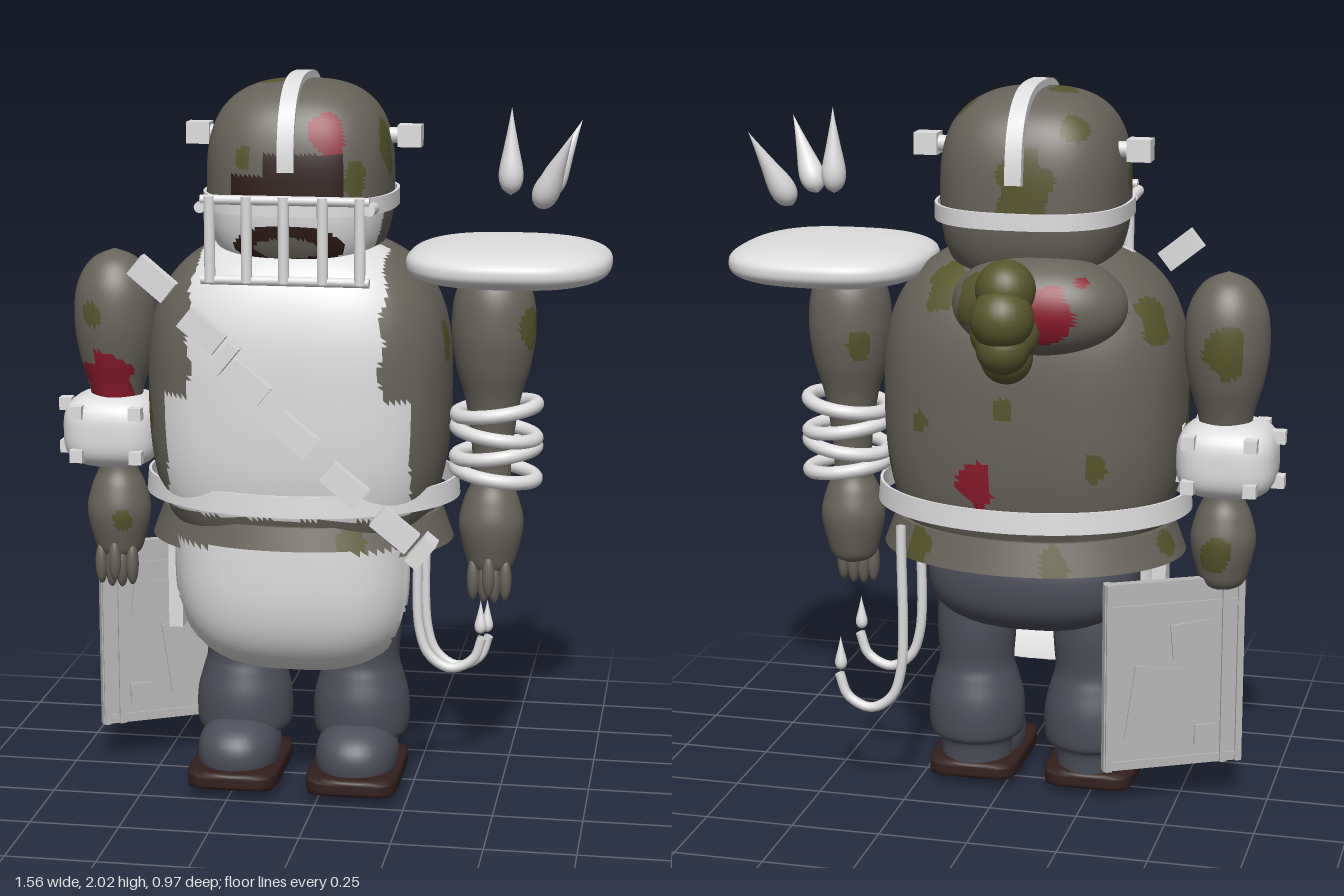
import * as THREE from 'three';
import { mergeVertices, toCreasedNormals } from 'three/addons/utils/BufferGeometryUtils.js';

const flat = (name, color) => new THREE.MeshStandardMaterial({ name, color, side: THREE.DoubleSide });
const skin = flat('skin', 0x68645b), olive = flat('olive', 0x56562c), red = flat('red', 0x8c1a2a);
const dark = flat('darkBrown', 0x2f1b18), pale = flat('pale', 0xdedede), panelGrey = flat('panelGrey', 0xb8b8b8);
const cloth = flat('cloth', 0x4c4e59), sole = flat('sole', 0x331f1d), tread = flat('tread', 0x2b2b2f);
const PAINT = [skin, olive, red, dark, pale];
const CX = -0.075; // centre line of the body
const V = (x, y, z) => new THREE.Vector3(x, y, z);

export function createModel() {
  const root = new THREE.Group();
  const add = (name, geo, mat) => {
    const m = new THREE.Mesh(geo, mat);
    m.name = name;
    root.add(m);
    return m;
  };

  // Rounded solid: a sphere pushed towards a box by exponent n, then scaled
  const solid = (c, r, n = 2, seg = 32, warp) => {
    let g = new THREE.SphereGeometry(1, seg, Math.round(seg * 0.7));
    g.deleteAttribute('uv');
    g.deleteAttribute('normal');
    const p = g.attributes.position, v = V(0, 0, 0);
    for (let i = 0; i < p.count; i++) {
      v.fromBufferAttribute(p, i);
      const k = (Math.abs(v.x) ** n + Math.abs(v.y) ** n + Math.abs(v.z) ** n) ** (-1 / n);
      v.multiplyScalar(k).multiply(V(...r)).add(V(...c));
      if (warp) warp(v);
      p.setXYZ(i, v.x, v.y, v.z);
    }
    g = mergeVertices(g, 1e-5);
    g.computeVertexNormals();
    return g;
  };

  // Sorts triangles into colour groups by a rule on their centre; -1 removes them
  const paint = (g, rule) => {
    const p = g.attributes.position, ix = g.index.array, bins = PAINT.map(() => []);
    for (let i = 0; i < ix.length; i += 3) {
      const t = [ix[i], ix[i + 1], ix[i + 2]], mid = f => t.reduce((s, k) => s + p[f](k), 0) / 3;
      const c = rule(mid('getX'), mid('getY'), mid('getZ'));
      if (c >= 0) bins[c].push(...t);
    }
    g.setIndex(bins.flat());
    let start = 0;
    bins.forEach((b, i) => {
      if (b.length) g.addGroup(start, b.length, i);
      start += b.length;
    });
    return g;
  };
  const spotted = (spots, base = () => 0) => (x, y, z) => {
    for (const [sx, sy, sz, r, c] of spots) {
      const d = Math.hypot(x - sx, (y - sy) * 0.75, z - sz);
      if (d < r * (1 + 0.15 * Math.sin(38 * x + 55 * y + 30 * z))) return c;
    }
    return base(x, y, z);
  };

  // Thin hoop, from radius r0 at y0 to r1 at y1; n squares it off
  const band = (cz, y0, y1, r0, r1, rz, thick, n, segs) => {
    const pts = [new THREE.Vector2(r0 - thick, y0)];
    for (let i = 0; i <= 6; i++) pts.push(new THREE.Vector2(r0 + (r1 - r0) * i / 6, y0 + (y1 - y0) * i / 6));
    pts.push(new THREE.Vector2(r1 - thick, y1), pts[0].clone());
    const g = new THREE.LatheGeometry(pts, segs);
    const p = g.attributes.position;
    for (let i = 0; i < p.count; i++) {
      const x = p.getX(i), z = p.getZ(i), l = Math.hypot(x, z);
      const k = (Math.abs(x / l) ** n + Math.abs(z / l) ** n) ** (-1 / n);
      p.setXYZ(i, x * k + CX, p.getY(i), z * k * rz / r0 + cz);
    }
    return mergeVertices(toCreasedNormals(g, 0.6));
  };
  const rod = (name, a, b, r, mat = pale) => {
    const d = b.clone().sub(a);
    const m = add(name, new THREE.CylinderGeometry(r, r, d.length(), 12), mat);
    m.position.copy(a).addScaledVector(d, 0.5);
    m.quaternion.setFromUnitVectors(V(0, 1, 0), d.normalize());
  };
  const box = (name, c, s, mat = pale, rz = 0) => {
    const m = add(name, new THREE.BoxGeometry(...s), mat);
    m.position.set(...c);
    m.rotation.z = rz;
    return m;
  };
  const teardrop = (name, base, tip, r) => {
    const d = tip.clone().sub(base), L = d.length();
    const prof = new THREE.SplineCurve([[0, 0], [r * 0.75, 0.08], [r, 0.25], [r * 0.6, 0.55], [r * 0.25, 0.8], [0, 1]]
      .map(([x, y]) => new THREE.Vector2(x, y * L))).getPoints(20).map(q => (q.x = Math.max(q.x, 0), q));
    const m = add(name, new THREE.LatheGeometry(prof, 20), pale);
    m.position.copy(base);
    m.quaternion.setFromUnitVectors(V(0, 1, 0), d.normalize());
  };

  // Torso with pale bib, and the hump on the back
  const bib = (x, y, z) => z > 0.06 && y > 0.81 && y < 1.54 &&
    Math.abs(x - CX) < (y > 1.14 ? 0.262 + 0.008 * Math.sin(45 * y) : 0.335) ? 4 : 0;
  add('torso', paint(solid([CX, 1.15, 0.01], [0.42, 0.42, 0.31], 2.75, 160, v => {
    if (v.y < 1.15) v.y = Math.max(0.72, 1.15 + (v.y - 1.15) * 1.3);
  }), spotted([[-0.46, 1.08, 0.1, 0.08, 1], [0.33, 1.28, 0.06, 0.045, 1], [0.12, 1.48, -0.23, 0.07, 1],
    [-0.42, 1.38, -0.14, 0.055, 1], [-0.33, 1.42, -0.2, 0.035, 1], [0.03, 0.93, -0.3, 0.05, 2], [0.2, 1.1, -0.28, 0.03, 1],
    [-0.05, 1.15, -0.3, 0.025, 1], [-0.3, 1.0, -0.27, 0.03, 1], [0.3, 0.95, -0.12, 0.04, 1]], bib)), PAINT);
  add('hump', paint(solid([-0.13, 1.42, -0.2], [0.24, 0.14, 0.16], 2.1, 64),
    spotted([[-0.19, 1.42, -0.35, 0.06, 2], [-0.26, 1.49, -0.29, 0.02, 2], [0.02, 1.44, -0.3, 0.06, 1]])), PAINT);

  // Growth of round warts
  for (const [x, y, z, r] of [[-0.075, 1.49, -0.36, 0.08], [-0.075, 1.42, -0.4, 0.085], [-0.095, 1.37, -0.36, 0.07],
    [-0.05, 1.37, -0.36, 0.07], [-0.075, 1.34, -0.39, 0.072], [-0.075, 1.305, -0.35, 0.07]])
    add('wart', solid([x, y, z], [r, r, r], 2, 24), olive);

  // Belts and hanging apron
  add('upperBelt', band(-0.02, 0.825, 0.885, 0.445, 0.44, 0.348, 0.008, 2, 72), pale);
  add('lowerBelt', paint(band(-0.017, 0.70, 0.79, 0.428, 0.395, 0.335, 0.015, 2, 160),
    spotted([[0.115, 0.76, 0.28, 0.045, 1], [-0.2, 0.73, -0.33, 0.04, 1], [0.2, 0.74, -0.26, 0.045, 1],
      [-0.45, 0.74, -0.1, 0.04, 1]])), PAINT);
  const cut = y => Math.min(0.17, 0.04 + Math.max(0, y - 0.33) * 1.1);
  add('apron', paint(solid([CX, 0.69, 0], [0.345, 0.36, 0.33], 2.9, 96, v => { v.z = Math.max(v.z, cut(v.y)); }),
    (x, y, z) => y < 0.73 && z > cut(y) + 0.002 ? 4 : -1), PAINT);
  box('apronStrap', [-0.415, 0.575, 0.1], [0.04, 0.26, 0.06]);

  // Head: dark brow, pale jaw and open mouth
  const face = (x, y, z) => {
    if (z < 0.1) return 0;
    const dx = (x - CX) / 0.15, dy = (y - 1.55) / 0.06;
    if (dx * dx + dy * dy < 1) return (dx / 0.6) ** 2 + ((dy + 0.1) / 0.5) ** 2 < 1 ? 0 : 3;
    if (y < 1.65) return 4;
    return Math.abs(dx) < 1 && y > 1.67 && y < 1.77 + 0.03 * Math.sign(dx + 0.4) ? 3 : 0;
  };
  add('head', paint(solid([CX, 1.705, -0.005], [0.252, 0.275, 0.255], 2.8, 128),
    spotted([[0.03, 1.85, 0.2, 0.05, 2], [0.1, 1.73, 0.2, 0.035, 1], [-0.19, 1.79, 0.23, 0.025, 1], [-0.15, 1.97, -0.02, 0.04, 1],
      [-0.14, 1.97, 0.04, 0.035, 1], [0.1, 1.93, -0.1, 0.035, 1], [-0.22, 1.9, -0.19, 0.04, 1], [0.17, 1.81, 0.05, 0.06, 1],
      [-0.1, 1.74, -0.26, 0.075, 1], [-0.31, 1.75, 0.05, 0.04, 1]], face)), PAINT);

  // Head gear: band, crest and side bolts
  add('headBand', band(-0.015, 1.635, 1.68, 0.265, 0.265, 0.283, 0.008, 2.6, 72), pale);
  const arc = (rz, ry) => Array.from({ length: 41 }, (_, i) => {
    const a = 0.13 + (Math.PI - 0.26) * i / 40, c = Math.cos(a), s = Math.sin(a);
    const k = (Math.abs(c) ** 2.8 + s ** 2.8) ** (-1 / 2.8);
    return new THREE.Vector2(-0.012 + c * k * rz, 1.715 + s * k * ry);
  });
  const crest = new THREE.ExtrudeGeometry(new THREE.Shape([...arc(0.274, 0.285), ...arc(0.245, 0.25).reverse()]),
    { depth: 0.045, bevelEnabled: false });
  add('crest', toCreasedNormals(crest.translate(0, 0, -0.0225).rotateY(-Math.PI / 2).translate(CX, 0, 0), 0.6), pale);
  for (const s of [-1, 1]) {
    rod('boltStem', V(CX + s * 0.22, 1.825, -0.05), V(CX + s * 0.29, 1.825, -0.05), 0.022);
    box('boltHead', [CX + s * 0.295, 1.825, -0.05], [0.065, 0.06, 0.06]);
  }

  // Face cage
  for (const x of [-0.275, -0.175, -0.075, 0.03, 0.13]) rod('cageBar', V(x, 1.46, 0.285), V(x, 1.69, 0.285), 0.015);
  for (const y of [1.465, 1.68]) rod('cageRail', V(-0.3, y, 0.28), V(0.155, y, 0.28), 0.013);
  for (const x of [-0.3, 0.155]) rod('cageStrut', V(x, 1.66, 0.29), V(x, 1.655, 0.2), 0.016);

  // Arms with clawed hands
  const armLine = new THREE.SplineCurve([[0, 0.6], [0.055, 0.62], [0.076, 0.67], [0.091, 0.75], [0.076, 0.82], [0.054, 0.88],
    [0.058, 0.98], [0.076, 1.1], [0.104, 1.2], [0.117, 1.3], [0.107, 1.4], [0.065, 1.47], [0, 1.5]]
    .map(q => new THREE.Vector2(...q))).getPoints(72).map(q => (q.x = Math.max(q.x, 0), q));
  for (const [side, x] of [['right', -0.61], ['left', 0.46]]) {
    const g = new THREE.LatheGeometry(armLine, 48).translate(x, 0, -0.015);
    add(side + 'Arm', paint(g, spotted(side === 'right'
      ? [[-0.62, 1.12, 0.06, 0.075, 2], [-0.66, 1.32, 0.1, 0.03, 1], [-0.58, 0.73, 0.07, 0.025, 1], [-0.62, 1.3, -0.13, 0.055, 1],
        [-0.6, 0.72, -0.1, 0.045, 1]]
      : [[0.56, 1.31, 0.03, 0.045, 1], [0.4, 1.25, -0.12, 0.035, 1]])), PAINT);
    for (let i = 0; i < 4; i++)
      add('finger', solid([x - 0.045 + i * 0.03, 0.595 - (i % 3 ? 0.008 : 0), 0.025], [0.018, 0.062, 0.024], 2, 14), skin);
    add('thumb', solid([x, 0.61, 0.05], [0.018, 0.06, 0.02], 2, 14), skin);
  }

  // Studded cuff on the right arm
  add('cuff', solid([-0.62, 0.985, -0.02], [0.138, 0.107, 0.132], 3.2, 40), pale);
  for (const y of [0.925, 1.05]) {
    for (const x of [-0.7, -0.53]) for (const s of [-1, 1]) box('stud', [x, y, -0.02 + s * 0.122], [0.036, 0.036, 0.036]);
    for (const s of [-1, 1]) box('stud', [-0.62 + s * 0.14, y, -0.02], [0.036, 0.036, 0.036]);
  }

  // Wire rings on the left arm
  [1.075, 1.01, 0.955, 0.895].forEach((y, i) => {
    const m = add('wireRing', new THREE.TorusGeometry(0.113, 0.02, 12, 40).rotateX(Math.PI / 2), pale);
    m.position.set(0.47, y, -0.018);
    m.rotation.z = i % 2 ? -0.14 : 0.14;
  });

  // Shoulder plate with spikes
  add('shoulderPlate', solid([0.5, 1.49, -0.02], [0.28, 0.06, 0.29], 2.7, 56), pale);
  teardrop('spike', V(0.5, 1.67, -0.02), V(0.5, 1.91, -0.02), 0.034);
  for (const s of [-1, 1]) teardrop('spike', V(0.585, 1.65, -0.02 + s * 0.11), V(0.68, 1.86, -0.02 + s * 0.19), 0.036);

  // Bandolier of loose blocks across the chest
  for (const [x, y, z] of [[-0.41, 1.48, 0.38], [-0.27, 1.35, 0.415], [-0.145, 1.22, 0.445], [-0.015, 1.09, 0.465],
    [0.115, 0.955, 0.447], [0.245, 0.83, 0.415]])
    box('bandolierBlock', [x, y, z], [0.12, 0.065, 0.032], pale, -0.68).rotation.y = (x - CX) * 0.2;
  box('bandolierBuckle', [-0.205, 1.285, 0.435], [0.035, 0.09, 0.075], pale, -0.68);
  box('bandolierEnd', [0.315, 0.77, 0.395], [0.04, 0.085, 0.075], pale, -0.68);

  // Hooks hanging from the belt
  for (const [z, top, low] of [[-0.05, 0.72, 0.3], [-0.25, 0.79, 0.245]]) {
    const path = new THREE.CatmullRomCurve3([[0.25, top], [0.255, low + 0.12], [0.285, low + 0.04], [0.345, low + 0.005],
      [0.41, low + 0.035], [0.435, low + 0.1]].map(([x, y]) => V(x, y, z)));
    add('hook', new THREE.TubeGeometry(path, 40, 0.014, 10), pale);
    teardrop('hookTip', V(0.43, low + 0.11, z), V(0.43, low + 0.21, z), 0.017);
  }

  // Metal panel hung behind the right leg, turned outwards
  const panel = new THREE.Group();
  panel.name = 'panel';
  panel.add(box('panelSheet', [0, 0, 0], [0.405, 0.545, 0.026], panelGrey));
  for (const x of [-0.19, -0.145, 0.19]) panel.add(box('panelRib', [x, 0, 0], [0.018, 0.545, 0.042], panelGrey));
  for (const y of [-0.255, 0.2]) panel.add(box('panelRail', [0, y, 0], [0.38, 0.02, 0.036], panelGrey));
  panel.add(box('panelPatch', [0.06, -0.08, 0], [0.14, 0.21, 0.036], panelGrey, 0.14));
  panel.add(box('panelPatch', [-0.05, 0.1, 0], [0.12, 0.1, 0.036], panelGrey, -0.1));
  panel.add(box('panelLatch', [-0.09, -0.185, 0], [0.06, 0.06, 0.04], panelGrey));
  panel.position.set(-0.49, 0.372, -0.095);
  panel.rotation.y = 0.486;
  root.add(panel);

  // Hips, legs and boots
  add('hips', solid([CX, 0.62, -0.02], [0.3, 0.16, 0.2], 2.5, 40), cloth);
  const legLine = new THREE.SplineCurve([[0.1, 0.05], [0.106, 0.11], [0.132, 0.13], [0.138, 0.18], [0.134, 0.24], [0.118, 0.3],
    [0.107, 0.35], [0.113, 0.46], [0.1, 0.64]].map(q => new THREE.Vector2(...q))).getPoints(40);
  for (const x of [-0.245, 0.095]) {
    add('leg', new THREE.LatheGeometry(legLine, 40).translate(x, 0, -0.015), cloth);
    add('boot', solid([x, 0.08, 0.07], [0.116, 0.1, 0.155], 2.3, 32), cloth);
    add('sole', solid([x, 0.03, 0.065], [0.13, 0.028, 0.185], 7, 32), sole);
    const t = add('tread', new THREE.CircleGeometry(0.065, 28).rotateX(Math.PI / 2), tread);
    t.scale.z = 1.3;
    t.position.set(x, 0.0005, 0.065);
  }
  return root;
}
